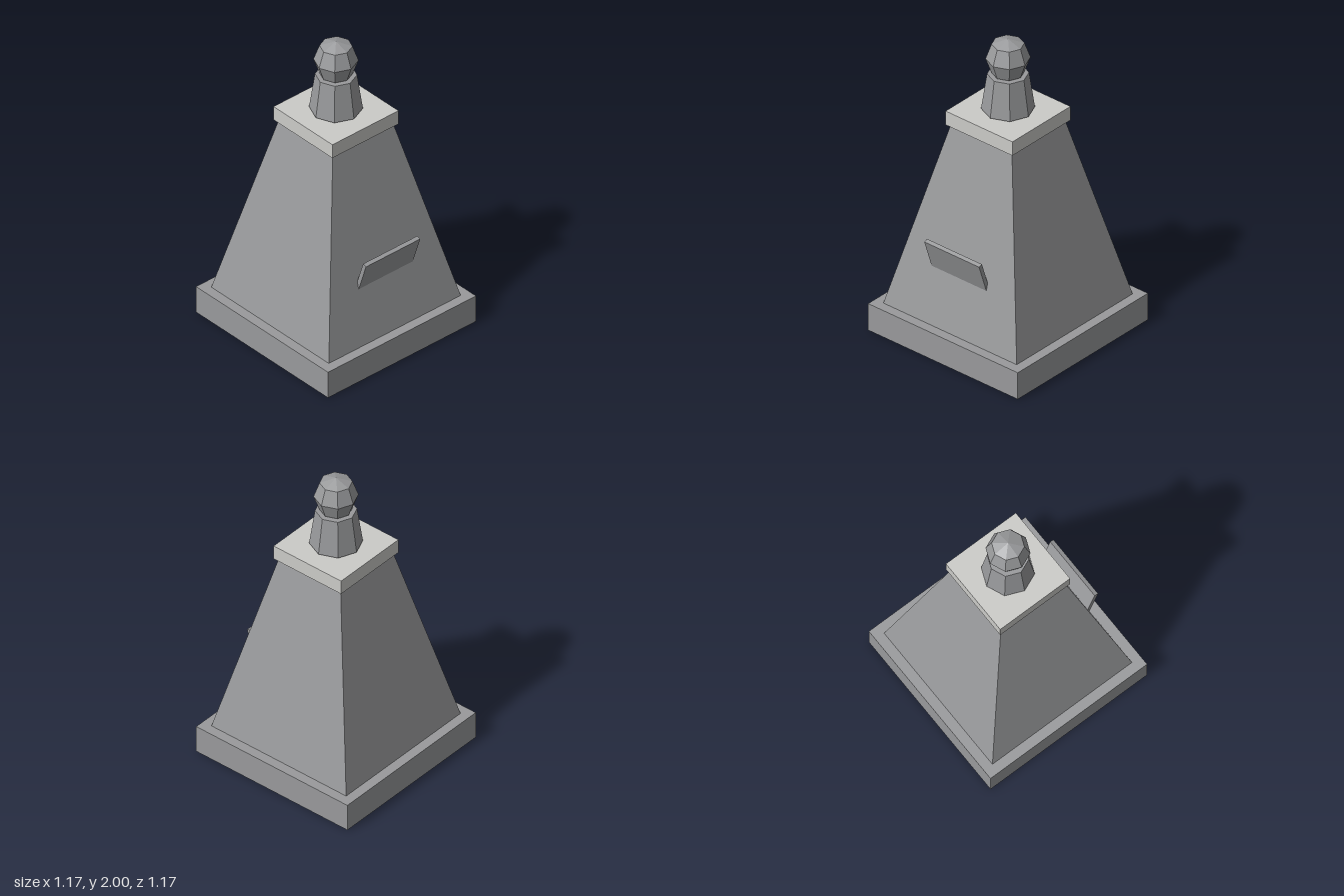
import * as THREE from 'three';

export function createModel() {
  const model = new THREE.Group();
  model.name = 'monument';

  const stone = new THREE.MeshStandardMaterial({ color: 0x999a9c, flatShading: true });
  stone.name = 'grey stone';
  const paleStone = new THREE.MeshStandardMaterial({ color: 0xcbcbc8, flatShading: true });
  paleStone.name = 'pale stone';

  const add = (name, geometry, material, y, z = 0) => {
    const mesh = new THREE.Mesh(geometry, material);
    mesh.name = name;
    mesh.position.set(0, y, z);
    model.add(mesh);
    return mesh;
  };

  // Square plinth
  add('plinth', new THREE.BoxGeometry(1.174, 0.185, 1.174), stone, 0.0925);

  // Tapered four-sided body
  const body = new THREE.CylinderGeometry(0.24 * Math.SQRT2, 0.523 * Math.SQRT2, 1.23, 4);
  body.rotateY(Math.PI / 4);
  add('taperedBody', body, stone, 0.8);

  // Pale capping slab
  add('capSlab', new THREE.BoxGeometry(0.524, 0.096, 0.524), paleStone, 1.463);

  // Octagonal neck and faceted ball
  add('neck', new THREE.CylinderGeometry(0.125, 0.16, 0.241, 8), stone, 1.6405);
  const ball = [[0, -0.133], [0.098, -0.1], [0.134, 0], [0.098, 0.1], [0, 0.133]]
    .map(([r, y]) => new THREE.Vector2(r, y));
  add('ball', new THREE.LatheGeometry(ball, 8), stone, 1.867);

  // Plaque leaning out from the front, its foot sunk into the body
  const plaque = add('plaque', new THREE.BoxGeometry(0.43, 0.217, 0.027), stone, 0.634, 0.461);
  plaque.rotation.x = THREE.MathUtils.degToRad(18.5);

  return model;
}
